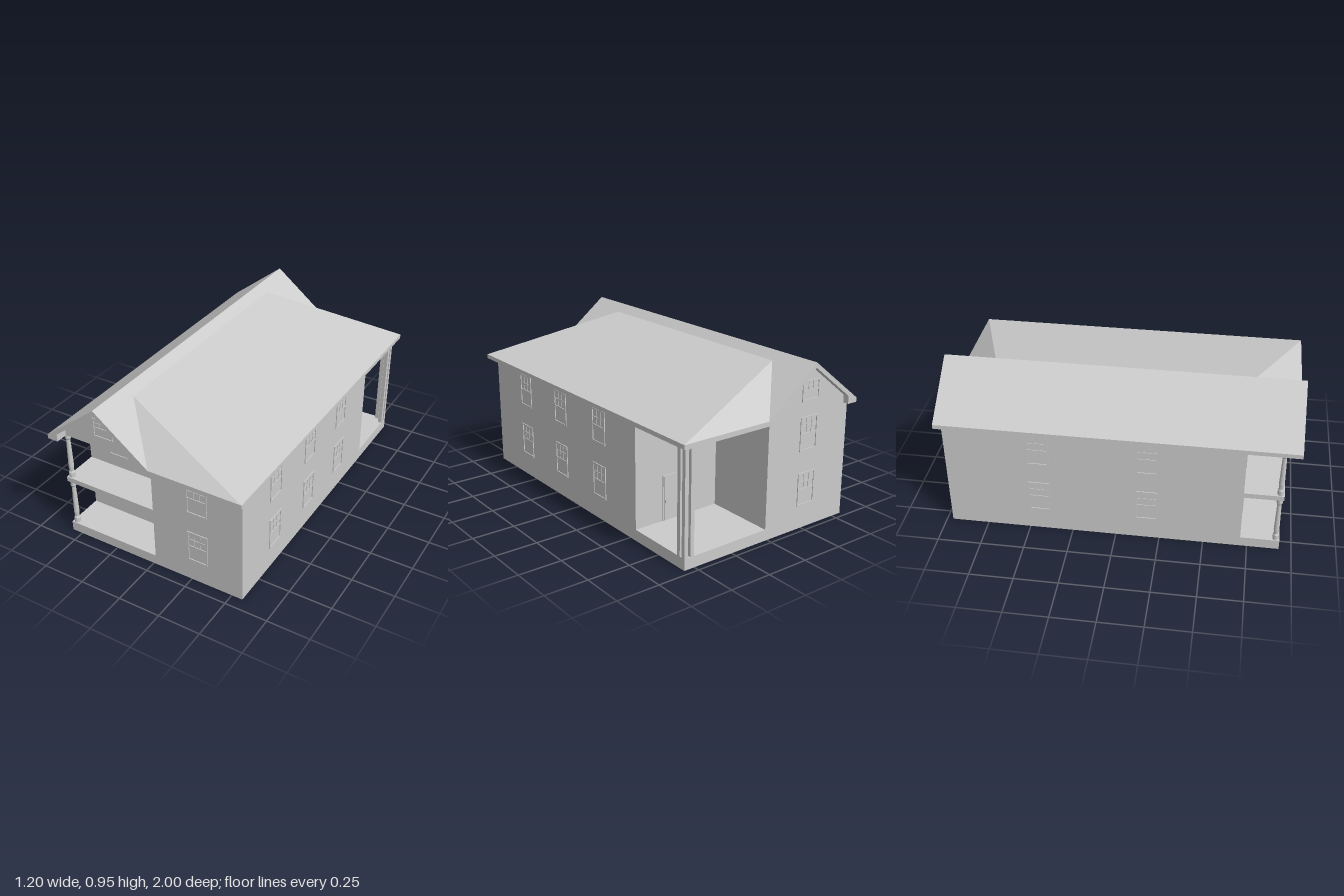
import * as THREE from 'three';

const mat = new THREE.MeshStandardMaterial({ color: 0xcccccc, flatShading: true, side: THREE.DoubleSide });

// Axis-aligned box given by its min and max corners
function box(parent, name, [x0, y0, z0], [x1, y1, z1]) {
  const m = new THREE.Mesh(new THREE.BoxGeometry(x1 - x0, y1 - y0, z1 - z0), mat);
  m.position.set((x0 + x1) / 2, (y0 + y1) / 2, (z0 + z1) / 2);
  m.name = name;
  parent.add(m);
  return m;
}

// Flat convex face, triangulated as a fan
function face(parent, name, pts) {
  const v = [];
  for (let i = 1; i < pts.length - 1; i++) v.push(...pts[0], ...pts[i], ...pts[i + 1]);
  const g = new THREE.BufferGeometry();
  g.setAttribute('position', new THREE.Float32BufferAttribute(v, 3));
  g.computeVertexNormals();
  const m = new THREE.Mesh(g, mat);
  m.name = name;
  parent.add(m);
}

// Sash window facing +z, standing on its local origin
function makeWindow(h) {
  const g = new THREE.Group(), w = 0.0625, d = 0.005, t = 0.009;
  g.name = 'window';
  box(g, 'leftJamb', [-w, 0, -d], [-w + t, h, d]);
  box(g, 'rightJamb', [w - t, 0, -d], [w, h, d]);
  box(g, 'sill', [-w, 0, -d], [w, t, d]);
  box(g, 'head', [-w, h - t, -d], [w, h, d]);
  box(g, 'meetingRail', [-w, h / 2 - 0.004, -d], [w, h / 2 + 0.004, d * 0.8]);
  for (const x of [-0.018, 0.018])
    box(g, 'muntin', [x - 0.002, h / 2, -0.003], [x + 0.002, h, 0.003]);
  box(g, 'crossMuntin', [-w, h * 0.74 - 0.002, -0.003], [w, h * 0.74 + 0.002, 0.003]);
  return g;
}

// Door facing +z with a casing and handle
function makeDoor(h) {
  const g = new THREE.Group(), w = 0.0625;
  g.name = 'door';
  box(g, 'leaf', [-w + 0.006, 0, -0.003], [w - 0.006, h - 0.006, 0.003]);
  for (const s of [-1, 1])
    box(g, 'casing', [s * w - 0.003, 0, -0.005], [s * w + 0.003, h, 0.005]);
  box(g, 'lintel', [-w, h - 0.006, -0.005], [w, h, 0.005]);
  box(g, 'handle', [-w + 0.012, 0.105, 0], [-w + 0.016, 0.12, 0.01]);
  return g;
}

function place(parent, part, x, y, z, turn = 0) {
  part.position.set(x, y, z);
  part.rotation.y = turn;
  parent.add(part);
}

export function createModel() {
  const house = new THREE.Group();
  house.name = 'house';
  const L = -0.565, R = 0.565, M = 0.015, F = 0.93, B = -0.965;
  const PF = 0.71, PB = -0.55, top = 0.67, eave = 0.695;

  // Outer walls follow a plan with a recess at two opposite corners
  const plan = [[L, PF], [M, PF], [M, F], [R, F], [R, PB], [M, PB], [M, B], [L, B]];
  plan.forEach(([x0, z0], i) => {
    const [x1, z1] = plan[(i + 1) % plan.length];
    face(house, 'wall', [[x0, 0, z0], [x1, 0, z1], [x1, top, z1], [x0, top, z0]]);
  });

  // Two-storey front porch
  box(house, 'frontPorchFloor', [L, 0, PF], [M, 0.06, F]);
  box(house, 'balconyFloor', [L, 0.35, PF], [M, 0.38, F]);
  face(house, 'frontPorchCeiling', [[L, top, PF], [M, top, PF], [M, top, F], [L, top, F]]);
  const shaft = [[0.018, 0], [0.018, 0.03], [0.013, 0.04], [0.016, 0.07], [0.012, 0.25], [0.017, 0.26], [0.017, 0.29]]
    .map(p => new THREE.Vector2(...p));
  for (const y of [0.06, 0.38]) {
    const post = new THREE.Mesh(new THREE.LatheGeometry(shaft, 12), mat);
    post.name = 'porchPost';
    place(house, post, -0.543, y, F - 0.022);
    place(house, makeWindow(0.195), -0.3625, y + 0.075, PF);
    place(house, makeDoor(0.262), -0.0825, y, PF);
  }

  // Tall back corner porch, with a cluster of three posts
  box(house, 'backPorchFloor', [M, 0, B], [R, 0.065, PB]);
  box(house, 'backBeam', [M, 0.65, B], [R, top, B + 0.06]);
  box(house, 'sideBeam', [R - 0.06, 0.65, B + 0.06], [R, top, PB]);
  face(house, 'backPorchCeiling', [[M, 0.665, B], [R, 0.665, B], [R, 0.665, PB], [M, 0.665, PB]]);
  for (const [dx, dz] of [[0, 0], [0.038, 0], [0, 0.038]])
    box(house, 'cornerPost', [R - dx - 0.023, 0.065, B + dz], [R - dx, 0.65, B + dz + 0.023]);
  place(house, makeDoor(0.265), 0.32, 0.065, PB, Math.PI);

  // Windows on both storeys
  for (const y of [0.135, 0.455]) {
    place(house, makeWindow(0.195), 0.2925, y, F);
    place(house, makeWindow(0.195), -0.275, y, B, Math.PI);
    for (const z of [0.58, 0.185, -0.21]) place(house, makeWindow(0.195), R, y, z, Math.PI / 2);
    for (const z of [-0.435, 0.175]) place(house, makeWindow(0.195), L, y, z, -Math.PI / 2);
  }

  // Roof ends: gable trim with eave returns, and the recessed gable walls
  const trim = new THREE.Shape([
    [-0.6, top], [-0.535, top], [-0.535, 0.715], [-0.275, 0.92], [-0.015, 0.715], [-0.015, top],
    [0.6, top], [0.6, eave], [0.05, eave], [-0.275, 0.949], [-0.6, eave],
  ].map(p => new THREE.Vector2(...p)));
  for (const [z0, z1, wallZ] of [[F, 1, F], [-1, B, B]]) {
    const end = new THREE.Mesh(new THREE.ExtrudeGeometry(trim, { depth: z1 - z0, bevelEnabled: false }), mat);
    end.name = 'gableTrim';
    place(house, end, 0, 0, z0);
    face(house, 'gableWall', [[-0.275, 0.92, wallZ], [-0.535, 0.715, wallZ], [-0.535, top, wallZ],
      [-0.015, top, wallZ], [-0.015, 0.715, wallZ]]);
    place(house, makeWindow(0.115), -0.2775, 0.735, wallZ, wallZ > 0 ? 0 : Math.PI);
  }

  // Roof slopes: long gable on the left, low hipped slope on the right
  const ry = 0.907, rz = 0.725;
  face(house, 'leftSlope', [[-0.6, eave, -1], [-0.6, eave, 1], [-0.275, 0.95, 1], [-0.275, 0.95, -1]]);
  face(house, 'gableRightSlope', [[-0.275, 0.95, -1], [-0.275, 0.95, 1], [0.05, eave, 1],
    [-0.22, ry, rz], [-0.22, ry, -rz], [0.05, eave, -1]]);
  face(house, 'rightSlope', [[0.6, eave, 1], [0.6, eave, -1], [-0.22, ry, -rz], [-0.22, ry, rz]]);
  face(house, 'frontHip', [[0.05, eave, 1], [0.6, eave, 1], [-0.22, ry, rz]]);
  face(house, 'backHip', [[0.6, eave, -1], [0.05, eave, -1], [-0.22, ry, -rz]]);

  // Long eaves
  box(house, 'leftEave', [-0.6, top, B], [L, eave, F]);
  box(house, 'rightEave', [R, top, B], [0.6, eave, F]);
  return house;
}
